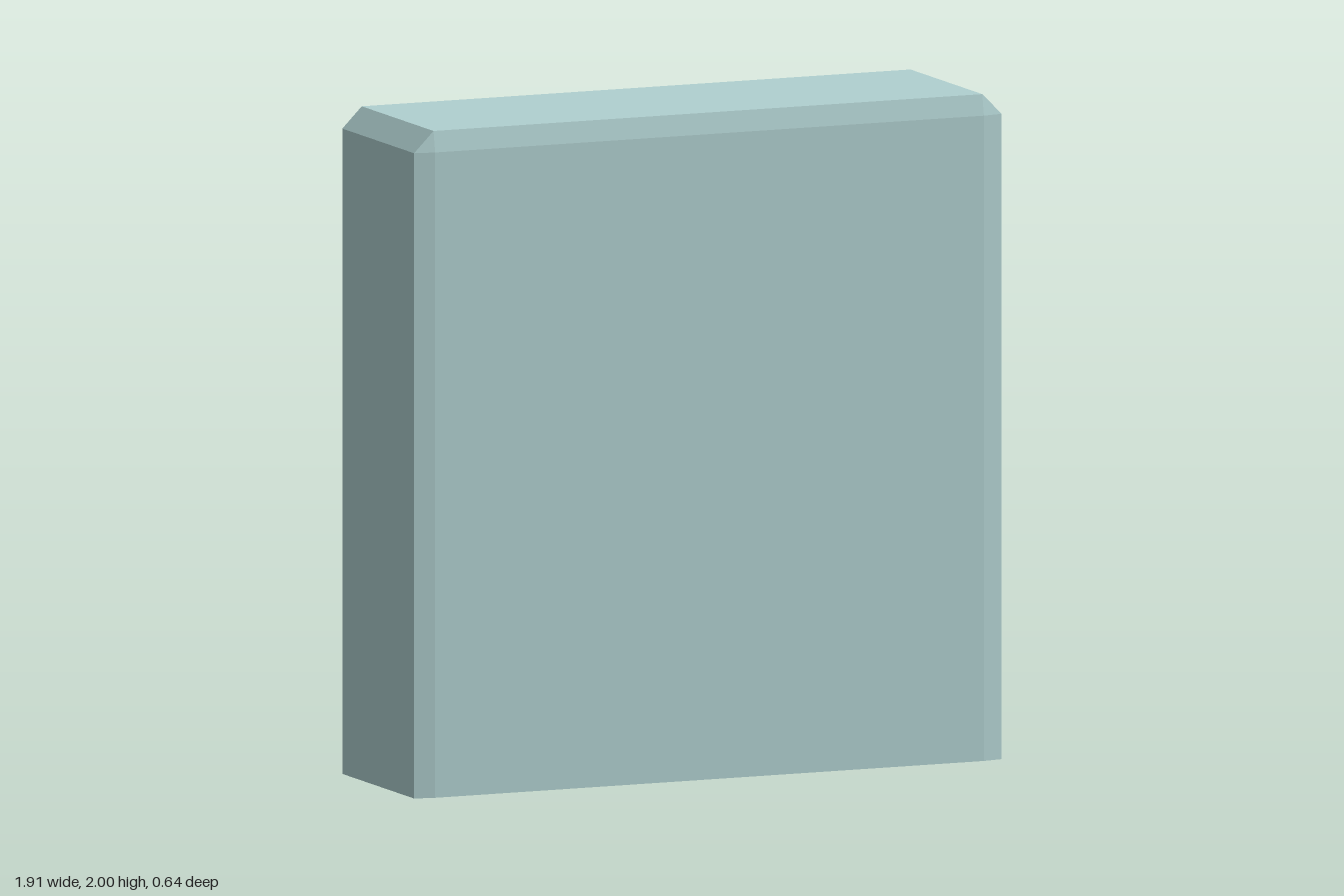
import * as THREE from 'three';

const W = 0.953, H = 2, BEVEL = 0.063;

// Outline of the case, left foot over the top to right foot; inset moves it in by the bevel.
function outline(z, inset, flat = false) {
  const xi = W - BEVEL, yi = H - BEVEL;
  const x = inset ? xi : W, top = inset ? yi : H;
  return [[-x, 0], [-x, yi], [-xi, top], [xi, top], [x, yi], [x, 0]]
    .map(([px, py]) => new THREE.Vector3(px, flat ? 0 : py, z));
}

// Skin between successive outlines, flat facets, empty triangles dropped.
function loft(rings) {
  const pos = [];
  const add = (a, b, c) => {
    if (new THREE.Triangle(a, b, c).getArea() < 1e-7) return;
    for (const p of [a, b, c]) pos.push(p.x, p.y, p.z);
  };
  for (let k = 0; k < rings.length - 1; k++) {
    for (let i = 0; i < rings[k].length - 1; i++) {
      const a = rings[k][i], b = rings[k][i + 1];
      const c = rings[k + 1][i + 1], d = rings[k + 1][i];
      add(a, b, c);
      add(a, c, d);
    }
  }
  const geo = new THREE.BufferGeometry();
  geo.setAttribute('position', new THREE.Float32BufferAttribute(pos, 3));
  geo.computeVertexNormals();
  return geo;
}

export function createModel() {
  const group = new THREE.Group();

  // Thin bevelled case, open at the bottom
  const caseMat = new THREE.MeshStandardMaterial({
    color: 0xb0d0d0, flatShading: true, side: THREE.DoubleSide,
  });
  const shell = new THREE.Mesh(loft([
    outline(0.322, true, true),
    outline(0.322, true),
    outline(0.31, false),
    outline(-0.217, false),
    outline(-0.229, true),
    outline(-0.229, true, true),
  ]), caseMat);
  shell.name = 'caseShell';
  group.add(shell);

  // Bent bar handles on the back; profile points are (z, y)
  const profile = new THREE.Shape([
    [-0.229, 1.184], [-0.258, 1.184], [-0.322, 1.088], [-0.322, 0.743],
    [-0.258, 0.618], [-0.229, 0.618], [-0.229, 0.668], [-0.272, 0.743],
    [-0.272, 1.08], [-0.229, 1.146],
  ].map(([z, y]) => new THREE.Vector2(z, y)));
  const width = 0.079;
  const handleGeo = new THREE.ExtrudeGeometry(profile, { depth: width, bevelEnabled: false });
  handleGeo.translate(0, 0, -width / 2);
  handleGeo.rotateY(-Math.PI / 2);
  const handleMat = new THREE.MeshStandardMaterial({ color: 0x827e82, flatShading: true });
  const handles = { rightHandle: -0.343, innerLeftHandle: 0.314, outerLeftHandle: 0.452 };
  for (const [name, x] of Object.entries(handles)) {
    const handle = new THREE.Mesh(handleGeo, handleMat);
    handle.name = name;
    handle.position.x = x;
    group.add(handle);
  }

  return group;
}
